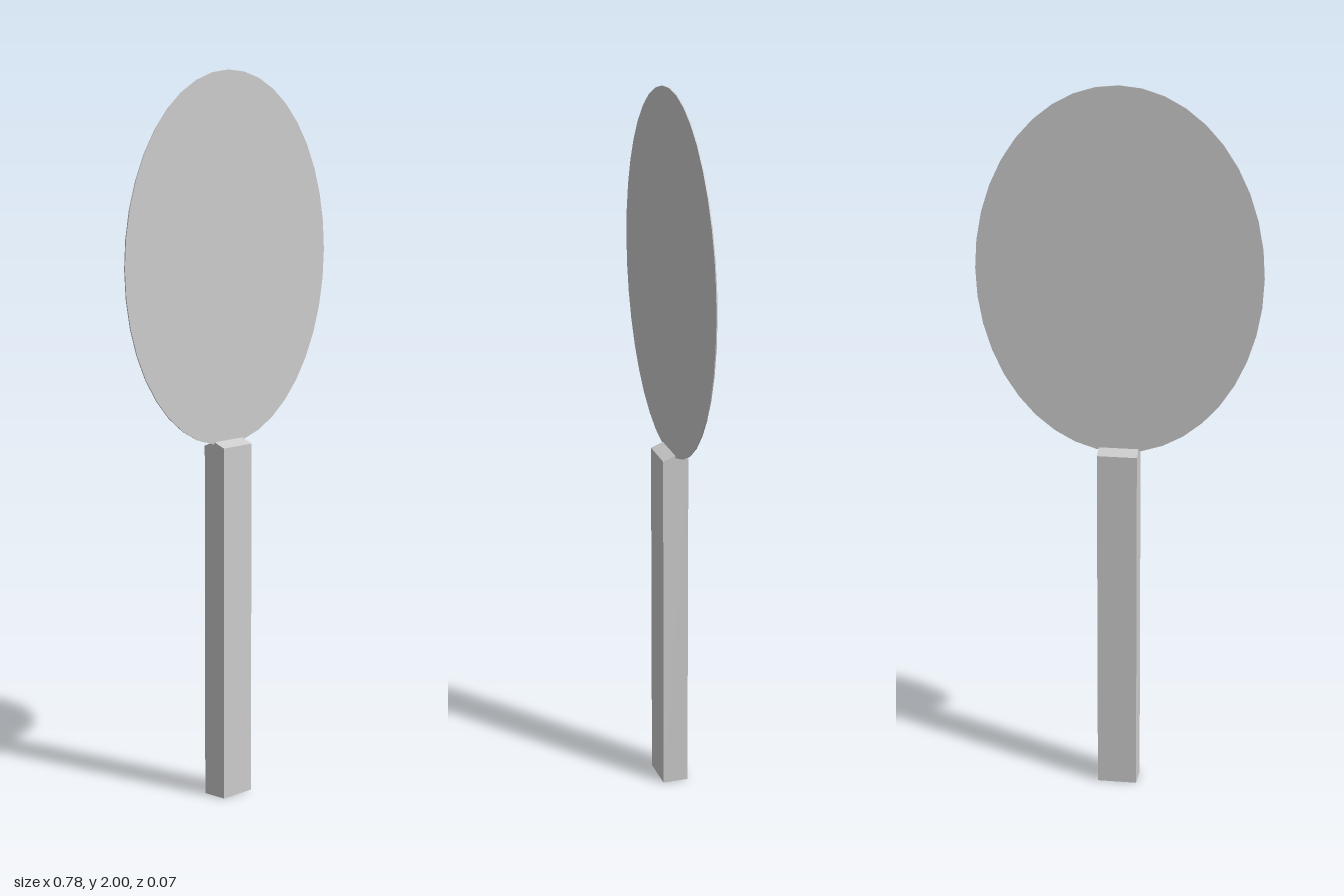
import * as THREE from 'three';

const material = new THREE.MeshStandardMaterial({ color: 0xcccccc, flatShading: true });

// Extrude a closed outline, centred on its depth axis
function slab(name, shape, depth) {
  const geometry = new THREE.ExtrudeGeometry(shape, { depth, bevelEnabled: false });
  geometry.translate(0, 0, -depth / 2);
  const mesh = new THREE.Mesh(geometry, material);
  mesh.name = name;
  return mesh;
}

export function createModel() {
  const group = new THREE.Group();
  group.name = 'paddle';

  // Thin oval blade
  const sides = 40, rx = 0.39, ry = 0.506, centreY = 1.494;
  const oval = [];
  for (let i = 0; i < sides; i++) {
    const a = (i / sides) * Math.PI * 2;
    oval.push(new THREE.Vector2(rx * Math.cos(a), centreY + ry * Math.sin(a)));
  }
  group.add(slab('blade', new THREE.Shape(oval), 0.003));

  // Square-cut handle with a low ridge along its top
  const halfDepth = 0.036;
  const profile = [[-halfDepth, 0], [halfDepth, 0], [halfDepth, 0.986], [0, 1], [-halfDepth, 0.986]]
    .map(([z, y]) => new THREE.Vector2(z, y));
  const handle = slab('handle', new THREE.Shape(profile), 0.11);
  handle.rotation.y = Math.PI / 2;
  group.add(handle);

  return group;
}
